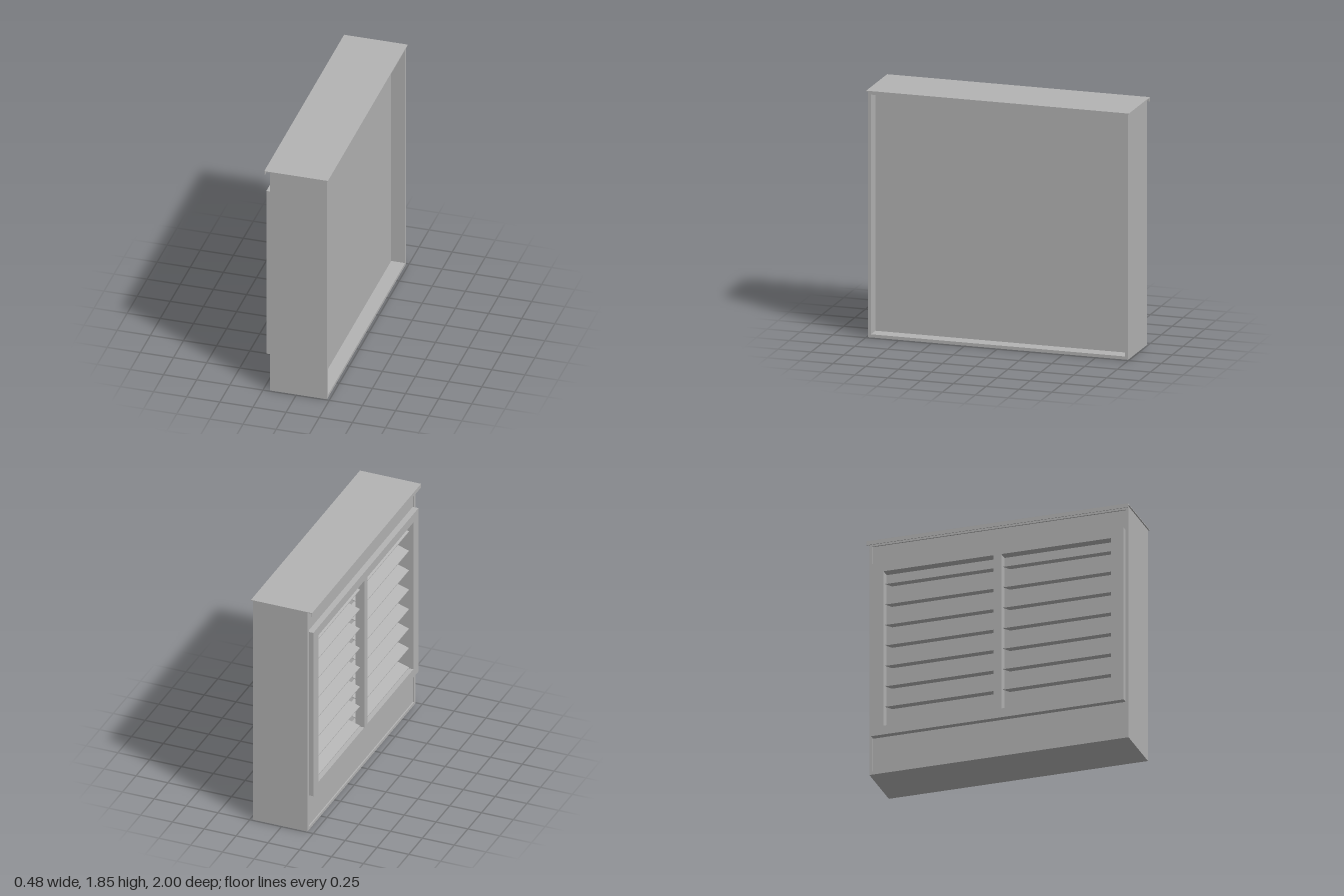
import * as THREE from 'three';

export function createModel() {
  const model = new THREE.Group();
  const grey = new THREE.MeshStandardMaterial({ color: 0xb3b3b3 });
  grey.name = 'painted grey metal';

  const add = (name, geometry, parent = model) => {
    const mesh = new THREE.Mesh(geometry, grey);
    mesh.name = name;
    parent.add(mesh);
    return mesh;
  };

  // Box given by its limits on each axis
  const box = (name, x0, x1, y0, y1, z0, z1, parent) =>
    add(name, new THREE.BoxGeometry(x1 - x0, y1 - y0, z1 - z0), parent)
      .position.set((x0 + x1) / 2, (y0 + y1) / 2, (z0 + z1) / 2);

  const rectangle = (path, z0, z1, y0, y1) =>
    path.moveTo(z0, y0).lineTo(z1, y0).lineTo(z1, y1).lineTo(z0, y1).closePath();

  // Plate across z and y with rectangular holes, extruded from x0 to x1
  const plate = (name, x0, x1, outline, holes) => {
    const shape = new THREE.Shape();
    rectangle(shape, ...outline);
    for (const h of holes) {
      const hole = new THREE.Path();
      rectangle(hole, ...h);
      shape.holes.push(hole);
    }
    const g = new THREE.ExtrudeGeometry(shape, { depth: x1 - x0, bevelEnabled: false });
    add(name, g.rotateY(Math.PI / 2).translate(x0, 0, 0));
  };

  // Casing: a rectangular sleeve closed by a recessed rear panel
  plate('casing', -0.2, 0.23, [-0.99, 0.99, 0, 1.84], [[-0.967, 0.967, 0.023, 1.817]]);
  box('rearPanel', 0.105, 0.125, 0.023, 1.817, -0.967, 0.967);

  // Lid with a drip lip over the louvre side
  box('lid', -0.24, 0.24, 1.84, 1.846, -1, 1);
  box('lidLip', -0.24, -0.235, 1.815, 1.84, -1, 1);

  // Louvre side: facing sheet and raised frame around two openings
  const openings = [[-0.87, -0.03, 0.36, 1.59], [0.03, 0.87, 0.36, 1.59]];
  plate('facingSheet', -0.19, -0.17, [-0.967, 0.967, 0.023, 1.817], openings);
  plate('louvreFrame', -0.235, -0.165, [-0.965, 0.965, 0.29, 1.66], openings);

  // Slats sloping down and outwards
  const slat = new THREE.Shape();
  slat.moveTo(-0.2, 0).lineTo(-0.045, 0.05).lineTo(-0.045, 0.056).lineTo(-0.2, 0.006).closePath();
  const slats = new THREE.Group();
  slats.name = 'louvreSlats';
  model.add(slats);
  for (const [z0, z1] of openings) {
    for (let i = 0; i < 8; i++) {
      const g = new THREE.ExtrudeGeometry(slat, { depth: z1 - z0, bevelEnabled: false });
      add('slat', g, slats).position.set(0, 0.362 + i * 0.163, z0);
    }
  }
  return model;
}
